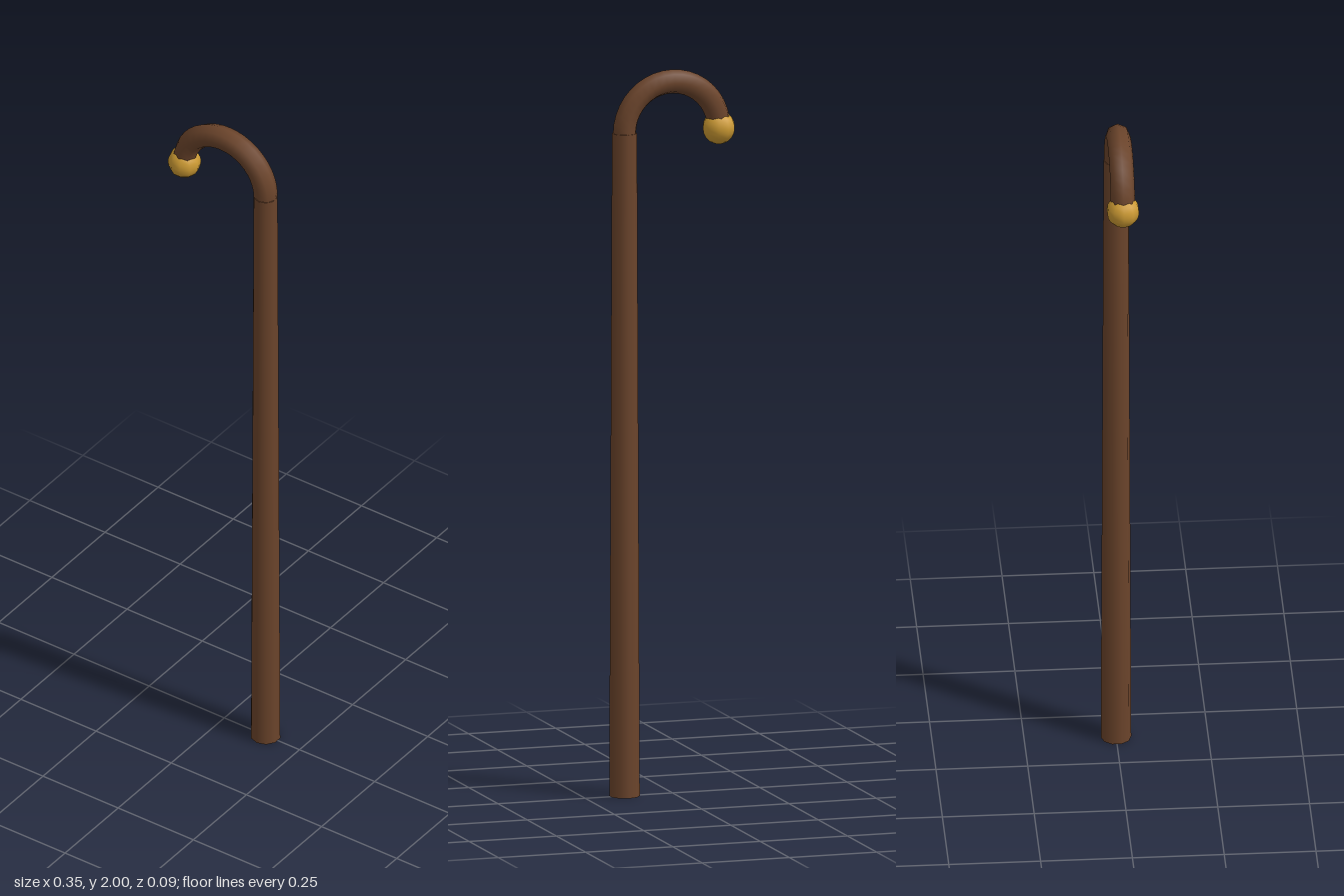
import * as THREE from 'three';

const BEND_Y = 1.832;   // height where the straight shaft meets the crook
const BEND_R = 0.135;   // radius of the crook's centre line
const BEND_X = 0.0025;

export function createModel() {
  const cane = new THREE.Group();
  cane.name = 'cane';
  const wood = new THREE.MeshStandardMaterial({ color: 0x6b442b });
  const brass = new THREE.MeshStandardMaterial({ color: 0xcc9a33 });

  const add = (name, geometry, material, x, y) => {
    const mesh = new THREE.Mesh(geometry, material);
    mesh.name = name;
    mesh.position.set(x, y, 0);
    cane.add(mesh);
  };

  // Tapered straight shaft, wider at the foot
  add('shaft', new THREE.CylinderGeometry(0.034, 0.0415, BEND_Y, 10), wood, BEND_X + BEND_R, BEND_Y / 2);

  // Half-circle crook handle
  add('crookHandle', new THREE.TorusGeometry(BEND_R, 0.033, 8, 20, Math.PI), wood, BEND_X, BEND_Y);

  // Ball on the free end of the crook
  add('handleKnob', new THREE.SphereGeometry(0.0455, 10, 10), brass, BEND_X - BEND_R, BEND_Y);

  return cane;
}
